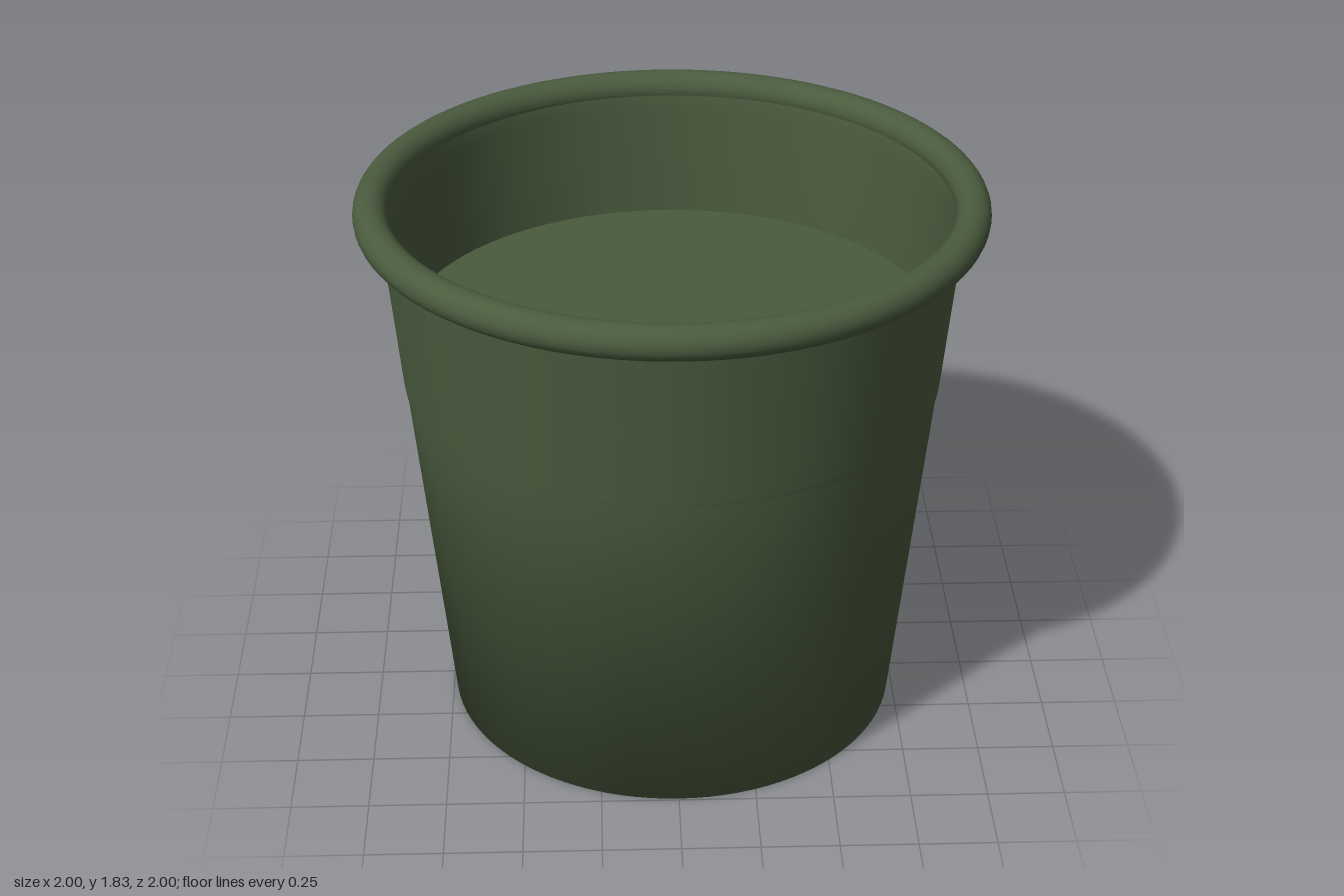
import * as THREE from 'three';

const SEGMENTS = 96;

export function createModel() {
  const group = new THREE.Group();
  const green = new THREE.MeshStandardMaterial({ color: 0x4a5b3e });
  green.name = 'dark green';

  const add = (name, geometry) => {
    const mesh = new THREE.Mesh(geometry, green);
    mesh.name = name;
    group.add(mesh);
    return mesh;
  };
  // Surface of revolution from [radius, height] pairs
  const turn = (name, points) =>
    add(name, new THREE.LatheGeometry(points.map(([r, y]) => new THREE.Vector2(r, y)), SEGMENTS));

  // Closed base running softly into the tapered lower wall
  turn('lowerBody', [[0, 0], [0.743, 0], [0.861, 1.172]]);

  // Upper band, standing slightly proud of the lower wall
  turn('bandLedge', [[0.859, 1.172], [0.864, 1.172]]);
  turn('upperBand', [[0.864, 1.172], [0.868, 1.195], [0.892, 1.45], [0.921, 1.75]]);

  // Rolled rim
  const rim = add('rim', new THREE.TorusGeometry(0.945, 0.055, 24, SEGMENTS));
  rim.rotation.x = Math.PI / 2;
  rim.position.y = 1.775;

  // Inside of the wall and the flat fill surface
  turn('innerWall', [[0.893, 1.765], [0.885, 1.72], [0.866, 1.34]]);
  turn('fillSurface', [[0.866, 1.34], [0, 1.34]]);

  return group;
}
